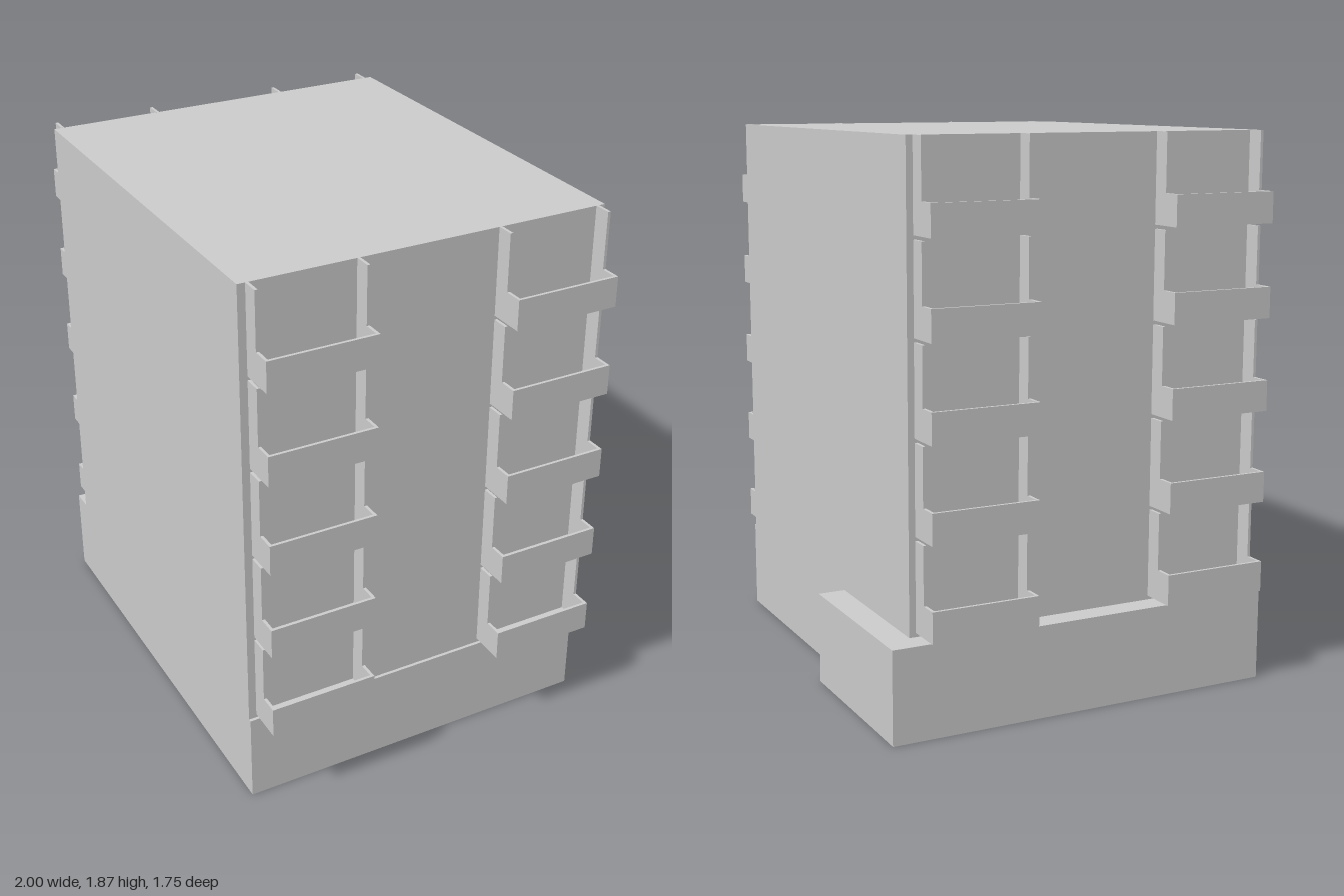
import * as THREE from 'three';

const material = new THREE.MeshStandardMaterial({ color: 0xcccccc, flatShading: true });

const BASE_TOP = 0.313, ROOF = 1.87;
const FLOORS = 5, FLOOR_PITCH = 0.3115, FIRST_FLOOR = 0.3265;
const WALL_LEFT = -0.73, WALL_RIGHT = 0.752, BACK = -0.59, FRONT = 0.684;

function addMesh(parent, name, geometry) {
  const mesh = new THREE.Mesh(geometry, material);
  mesh.name = name;
  parent.add(mesh);
  return mesh;
}

// Box given by its limits on each axis
function addBox(parent, name, [x0, x1], [y0, y1], [z0, z1]) {
  const mesh = addMesh(parent, name, new THREE.BoxGeometry(x1 - x0, y1 - y0, z1 - z0));
  mesh.position.set((x0 + x1) / 2, (y0 + y1) / 2, (z0 + z1) / 2);
  return mesh;
}

function shapeFrom(points) {
  return new THREE.Shape(points.map(([x, y]) => new THREE.Vector2(x, y)));
}

// Balcony projecting along +x from its wall: L-shaped end fins, floor and parapet
function createBalcony(width) {
  const balcony = new THREE.Group();
  balcony.name = 'balcony';
  const height = 0.298, parapet = 0.104, finDepth = 0.06, depth = 0.125, t = 0.01;
  const profile = shapeFrom([
    [0, 0], [depth, 0], [depth, parapet], [finDepth, parapet], [finDepth, height], [0, height],
  ]);
  for (const z of [-width / 2, width / 2 - t]) {
    addMesh(balcony, 'balconyFin', new THREE.ExtrudeGeometry(profile, { depth: t, bevelEnabled: false }))
      .position.z = z;
  }
  const inner = [-width / 2 + t, width / 2 - t];
  addBox(balcony, 'balconyFloor', [0, depth], [0, t], inner);
  addBox(balcony, 'balconyParapet', [depth - t, depth], [t, parapet], inner);
  return balcony;
}

export function createModel() {
  const model = new THREE.Group();
  model.name = 'apartmentBlock';
  const building = new THREE.Group();
  building.name = 'building';
  model.add(building);

  // Ground storey, with a step out at one half of the back
  const plan = shapeFrom([
    [-0.811, -0.684], [-0.182, -0.684], [-0.182, BACK], [0.763, BACK], [0.763, FRONT], [-0.811, FRONT],
  ]);
  const base = new THREE.ExtrudeGeometry(plan, { depth: BASE_TOP, bevelEnabled: false });
  base.rotateX(Math.PI / 2);
  base.translate(0, BASE_TOP, 0);
  addMesh(building, 'groundStorey', base);

  // Upper storeys
  addBox(building, 'upperStoreys', [WALL_LEFT, WALL_RIGHT], [BASE_TOP, ROOF], [BACK, FRONT]);

  // Two columns of balconies on each side wall
  for (const side of [1, -1]) {
    for (const z of [-0.382, 0.472]) {
      for (let i = 0; i < FLOORS; i++) {
        const balcony = createBalcony(0.371);
        balcony.position.set(side > 0 ? WALL_RIGHT : WALL_LEFT, FIRST_FLOOR + i * FLOOR_PITCH, z);
        if (side < 0) balcony.rotation.y = Math.PI;
        building.add(balcony);
      }
    }
  }

  // The block stands at an angle to the axes
  building.rotation.y = -0.277;
  building.position.set(0.002, 0, 0.003);
  return model;
}
